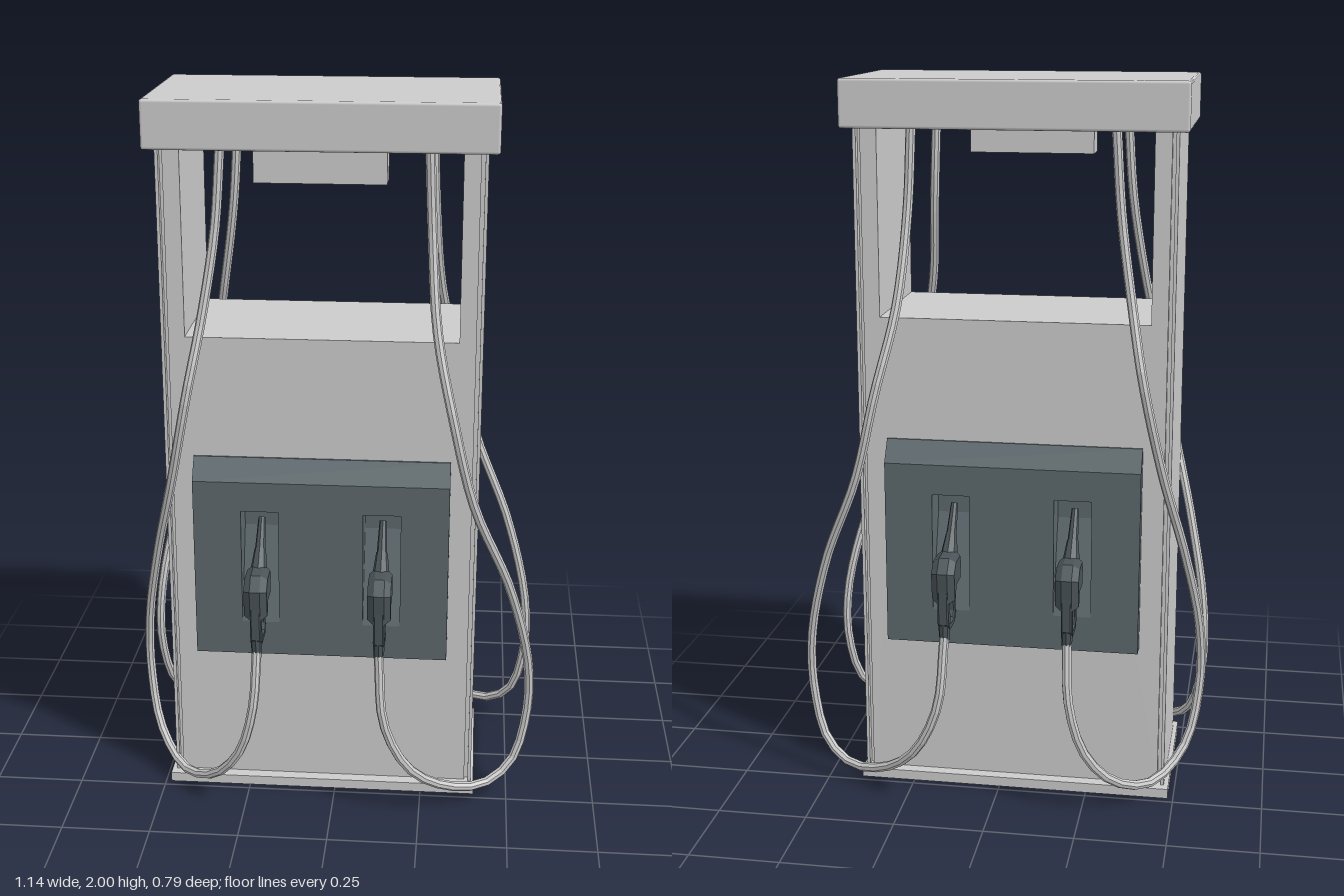
import * as THREE from 'three';
import { RoundedBoxGeometry } from 'three/addons/geometries/RoundedBoxGeometry.js';

const CX = -0.0375; // centre line of the cabinet
const grey = new THREE.MeshStandardMaterial({ color: 0xcccccc });
const flatGrey = new THREE.MeshStandardMaterial({ color: 0xcccccc, flatShading: true });
const slate = new THREE.MeshStandardMaterial({ color: 0x5c676b, flatShading: true });
const dark = new THREE.MeshStandardMaterial({ color: 0x4a5458, flatShading: true });

function add(parent, name, geometry, material) {
  const mesh = new THREE.Mesh(geometry, material);
  mesh.name = name;
  parent.add(mesh);
  return mesh;
}

// Box given by its limits on each axis
function box(parent, name, [x0, x1], [y0, y1], [z0, z1], material = grey) {
  const g = new THREE.BoxGeometry(x1 - x0, y1 - y0, z1 - z0);
  g.translate((x0 + x1) / 2, (y0 + y1) / 2, (z0 + z1) / 2);
  return add(parent, name, g, material);
}

const rect = (x0, x1, y0, y1) =>
  [[x0, y0], [x1, y0], [x1, y1], [x0, y1]].map(([x, y]) => new THREE.Vector2(x, y));

// Upright plate with rectangular holes, spanning z0..z1
function plate(outline, holes, z0, z1) {
  const s = new THREE.Shape(rect(...outline));
  holes.forEach((h) => s.holes.push(new THREE.Path(rect(...h))));
  return new THREE.ExtrudeGeometry(s, { depth: z1 - z0, bevelEnabled: false }).translate(0, 0, z0);
}

// Side profile of [z, y] points, extruded across x and centred on x = 0
function profile(points, width, bevel = 0, hole = null) {
  const vec = (list) => list.map(([z, y]) => new THREE.Vector2(z, y));
  const s = new THREE.Shape(vec(points));
  if (hole) s.holes.push(new THREE.Path(vec(hole)));
  const depth = width - 2 * bevel;
  const g = new THREE.ExtrudeGeometry(s, {
    depth, bevelEnabled: bevel > 0, bevelThickness: bevel,
    bevelSize: bevel * 0.7, bevelOffset: -bevel * 0.7, bevelSegments: 1,
  });
  return g.translate(0, 0, -depth / 2).rotateY(-Math.PI / 2);
}

// Tapered rod between two [z, y] points
function rod(a, b, ra, rb) {
  const from = new THREE.Vector3(0, a[1], a[0]);
  const to = new THREE.Vector3(0, b[1], b[0]);
  const dir = to.clone().sub(from);
  const g = new THREE.CylinderGeometry(rb, ra, dir.length(), 8);
  g.applyQuaternion(new THREE.Quaternion().setFromUnitVectors(
    new THREE.Vector3(0, 1, 0), dir.clone().normalize()));
  const mid = from.add(to).multiplyScalar(0.5);
  return g.translate(mid.x, mid.y, mid.z);
}

function createNozzle() {
  const n = new THREE.Group();
  n.name = 'nozzle';
  // Valve body
  add(n, 'nozzleBody', profile([[0.25, 0.69], [0.265, 0.725], [0.34, 0.725], [0.375, 0.69],
    [0.365, 0.6], [0.335, 0.595], [0.32, 0.635], [0.265, 0.635]], 0.064, 0.018), dark);
  // Grip and trigger guard as one loop
  add(n, 'nozzleGrip', profile([[0.262, 0.66], [0.255, 0.54], [0.268, 0.515], [0.345, 0.515],
    [0.365, 0.54], [0.37, 0.66]], 0.03, 0.004,
  [[0.278, 0.63], [0.322, 0.63], [0.338, 0.585], [0.328, 0.535], [0.28, 0.533], [0.272, 0.55]]), dark);
  add(n, 'trigger', profile([[0.288, 0.64], [0.3, 0.64], [0.308, 0.56], [0.3, 0.545]], 0.014), dark);
  // Spout leaning up into the holster
  add(n, 'spoutCollar', rod([0.285, 0.69], [0.235, 0.76], 0.027, 0.016), dark);
  add(n, 'spout', rod([0.24, 0.752], [0.185, 0.835], 0.015, 0.01), dark);
  add(n, 'hoseCoupling', rod([0.348, 0.48], [0.348, 0.54], 0.013, 0.017), dark);
  return n;
}

// One face of the cabinet, built facing +z around x = 0
function createFace(name) {
  const f = new THREE.Group();
  f.name = name;
  add(f, 'facePlate', plate([-0.415, 0.415, 0.03, 1.36], [[-0.34, 0.34, 0.46, 0.95]], 0.14, 0.2), grey);

  // Holster panel with a sloping top edge
  const slots = [-0.17, 0.17].map((x) => [x - 0.052, x + 0.052, 0.54, 0.875]);
  add(f, 'holsterPanel', plate([-0.355, 0.355, 0.44, 0.96], slots, 0.145, 0.245), slate);
  add(f, 'panelTop', profile([[0.19, 0.96], [0.245, 0.96], [0.205, 1.02], [0.19, 1.02]], 0.71), slate);

  for (const x of [-0.17, 0.17]) {
    // Slot floor ramps outwards to the bottom
    const ramp = profile([[0.142, 0.54], [0.245, 0.54], [0.155, 0.8], [0.155, 0.875], [0.142, 0.875]], 0.104);
    add(f, 'holsterRamp', ramp, slate).position.x = x;
    const nozzle = createNozzle();
    nozzle.position.x = x;
    f.add(nozzle);
  }
  // Corner posts beside the display opening
  for (const s of [-1, 1]) {
    const [a, b] = [s * 0.37, s * 0.415].sort((p, q) => p - q);
    box(f, 'cornerPost', [a, b], [1.36, 1.87], [0.14, 0.2]);
  }
  return f;
}

// Hose paths on the front; the back repeats them with z reversed
const rightHose = [[-0.305, 1.87, 0.17], [-0.322, 1.65, 0.18], [-0.357, 1.42, 0.22], [-0.395, 1.22, 0.275],
  [-0.45, 0.96, 0.24], [-0.51, 0.72, 0.165], [-0.555, 0.48, 0.1], [-0.56, 0.3, 0.09], [-0.525, 0.13, 0.14],
  [-0.44, 0.055, 0.24], [-0.34, 0.09, 0.325], [-0.26, 0.19, 0.37], [-0.217, 0.34, 0.38], [-0.2075, 0.5, 0.349]];
const leftHose = [[0.245, 1.87, 0.17], [0.255, 1.65, 0.18], [0.275, 1.4, 0.245], [0.325, 1.17, 0.31],
  [0.385, 0.93, 0.3], [0.49, 0.67, 0.25], [0.55, 0.42, 0.21], [0.55, 0.25, 0.2], [0.51, 0.11, 0.22],
  [0.43, 0.055, 0.26], [0.32, 0.075, 0.31], [0.22, 0.155, 0.36], [0.15, 0.3, 0.375], [0.1325, 0.5, 0.349]];

export function createModel() {
  const model = new THREE.Group();
  model.name = 'fuelDispenser';
  const cabinet = new THREE.Group();
  cabinet.name = 'cabinet';
  cabinet.position.x = CX;
  model.add(cabinet);

  // Plinth, core and canopy
  box(cabinet, 'plinth', [-0.447, 0.442], [0, 0.028], [-0.23, 0.23]);
  box(cabinet, 'core', [-0.415, 0.415], [0.028, 1.36], [-0.14, 0.14]);
  add(cabinet, 'canopy', new RoundedBoxGeometry(0.925, 0.13, 0.49, 2, 0.008), grey).position.y = 1.935;

  // Sides: outer skin, with a shallow groove between it and the faces
  for (const s of [-1, 1]) {
    const span = (a, b) => (s > 0 ? [a, b] : [-b, -a]);
    box(cabinet, 'sideSkin', span(0.425, 0.434), [0.028, 1.87], [-0.205, 0.205]);
    box(cabinet, 'sideCore', span(0.37, 0.425), [1.36, 1.87], [-0.14, 0.14]);
    box(cabinet, 'sideGroove', span(0.415, 0.426), [0.028, 1.87], [-0.185, 0.185]);
  }

  // Lamp housing under the canopy
  box(cabinet, 'lampHousing', [-0.177, 0.173], [1.78, 1.872], [0.11, 0.195]);

  // Identical front and back faces
  cabinet.add(createFace('frontFace'));
  const back = createFace('backFace');
  back.rotation.y = Math.PI;
  cabinet.add(back);

  // Hoses
  for (const side of [1, -1]) {
    for (const path of [rightHose, leftHose]) {
      const curve = new THREE.CatmullRomCurve3(path.map(([x, y, z]) => new THREE.Vector3(x, y, z * side)));
      add(model, 'hose', new THREE.TubeGeometry(curve, 48, 0.0135, 8), flatGrey);
    }
  }
  return model;
}
